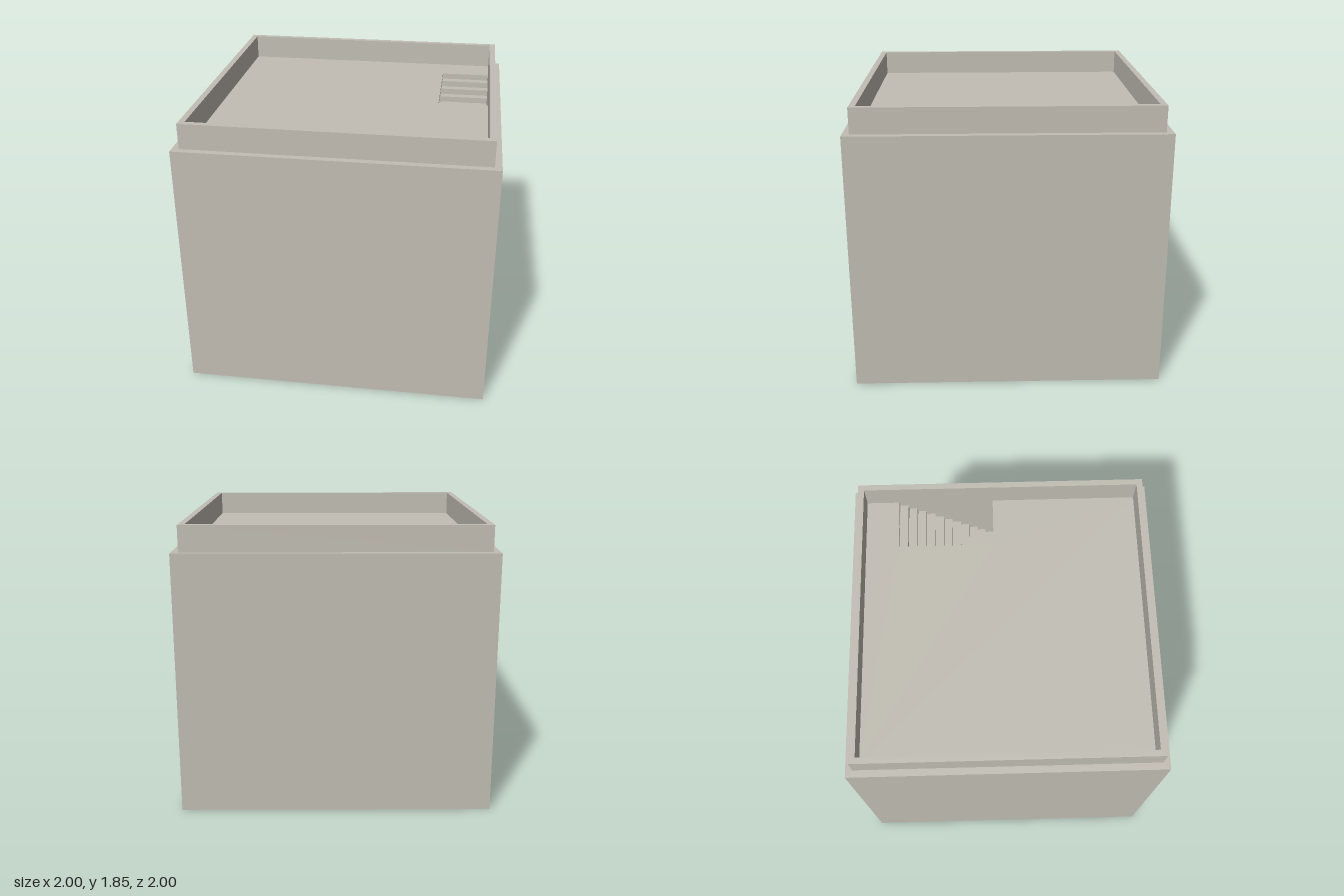
import * as THREE from 'three';

const WALL_TOP = 1.685, TOP = 1.85, INNER = 0.915;
const HOLE = { x: 0.575, back: -0.695, front: -0.055 };
const STEPS = 11, RISE = 0.04;

const concrete = new THREE.MeshStandardMaterial({ color: 0xc2beb4 });
concrete.name = 'concrete';

function part(name, geometry) {
  const mesh = new THREE.Mesh(geometry, concrete);
  mesh.name = name;
  return mesh;
}

// Plan corners are given as (x, z); the outline is raised from y0 to y1.
function raise(corners, y0, y1, hole) {
  const toPoints = (list) => list.map(([x, z]) => new THREE.Vector2(x, -z));
  const shape = new THREE.Shape(toPoints(corners));
  if (hole) shape.holes.push(new THREE.Path(toPoints(hole)));
  return new THREE.ExtrudeGeometry(shape, { depth: y1 - y0, bevelEnabled: false })
    .rotateX(-Math.PI / 2)
    .translate(0, y0, 0);
}

const square = (r) => [[-r, r], [r, r], [r, -r], [-r, -r]];

export function createModel() {
  const model = new THREE.Group();
  model.name = 'flatRoofBuilding';

  // Hollow shell: ground slab, walls and the set-back parapet
  model.add(part('groundSlab', raise(square(INNER), 0, 0.04)));
  model.add(part('walls', raise(square(1), 0, WALL_TOP, square(INNER))));
  model.add(part('parapet', raise(square(0.955), WALL_TOP, TOP, square(INNER))));

  // Roof slab, notched for the stairwell against the left wall
  model.add(part('roofSlab', raise([
    [-INNER, INNER], [INNER, INNER], [INNER, HOLE.front], [HOLE.x, HOLE.front],
    [HOLE.x, HOLE.back], [INNER, HOLE.back], [INNER, -INNER], [-INNER, -INNER],
  ], WALL_TOP - 0.025, WALL_TOP)));

  // Storey floor at the foot of the stairs
  const floorY = WALL_TOP - (STEPS + 1) * RISE;
  model.add(part('upperFloor', raise(square(INNER), floorY - 0.025, floorY)));

  // Stairs descending from the back of the stairwell to the front
  const stairs = new THREE.Group();
  stairs.name = 'stairs';
  const run = (HOLE.front - HOLE.back) / STEPS;
  const width = INNER - HOLE.x;
  for (let i = 0; i < STEPS; i++) {
    const height = WALL_TOP - (i + 1) * RISE - floorY;
    const step = part('step', new THREE.BoxGeometry(width, height, run));
    step.position.set(HOLE.x + width / 2, floorY + height / 2, HOLE.back + (i + 0.5) * run);
    stairs.add(step);
  }
  model.add(stairs);

  return model;
}
